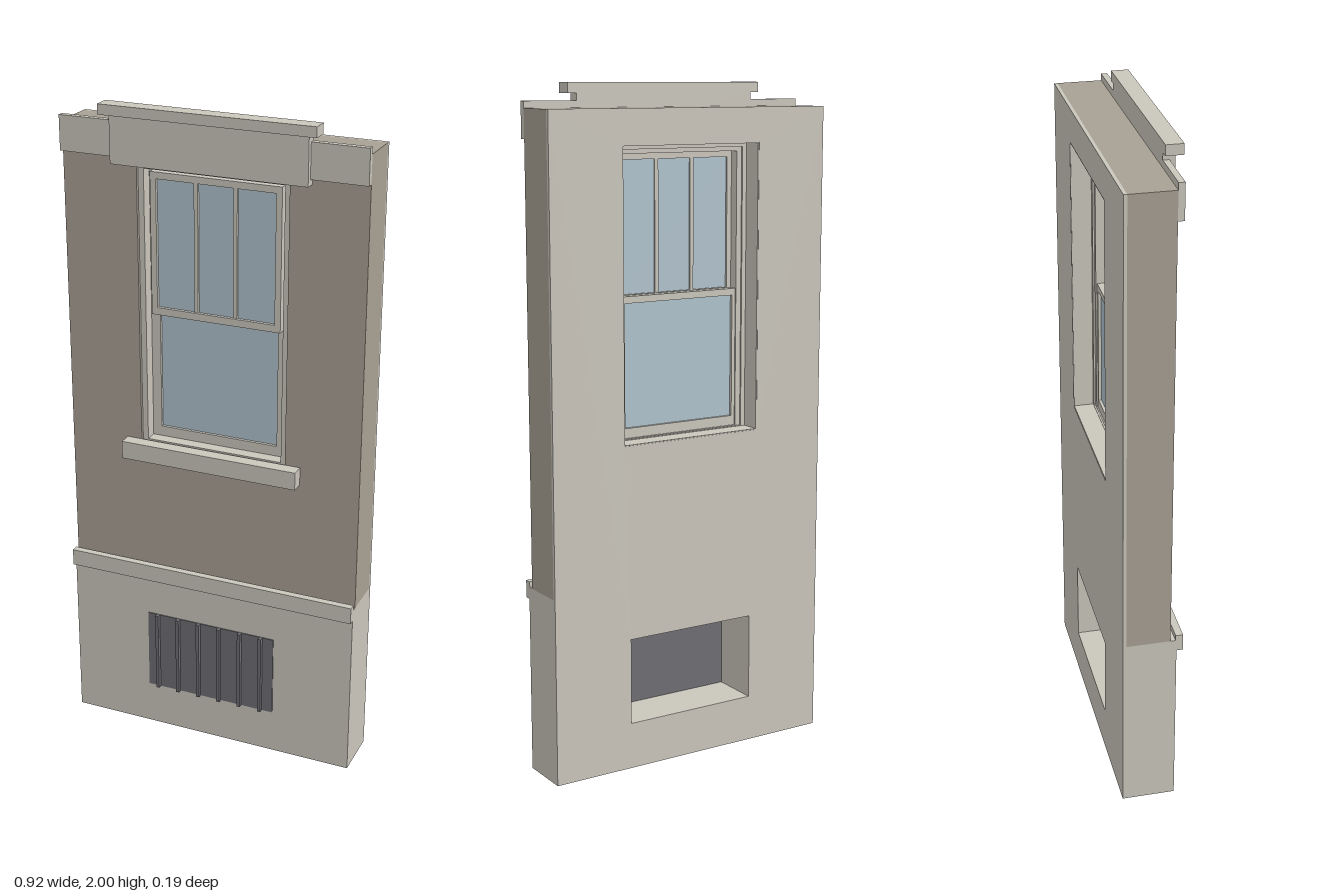
import * as THREE from 'three';

const mat = (name, color) => {
  const m = new THREE.MeshStandardMaterial({ color });
  m.name = name;
  return m;
};

export function createModel() {
  const stone = mat('pale stone', 0xcac6bc);
  const brick = mat('taupe wall', 0xa8a093);
  const glass = mat('window glass', 0xb0c3cd);
  const metal = mat('grey vent metal', 0x6d6d73);
  const root = new THREE.Group();
  root.name = 'windowWallPanel';

  const add = (name, geo, material, parent = root) => {
    const mesh = new THREE.Mesh(geo, material);
    mesh.name = name;
    parent.add(mesh);
    return mesh;
  };
  // Box given by its limits on each axis
  const box = (name, x0, x1, y0, y1, z0, z1, material, parent) => {
    const g = new THREE.BoxGeometry(x1 - x0, y1 - y0, z1 - z0);
    g.translate((x0 + x1) / 2, (y0 + y1) / 2, (z0 + z1) / 2);
    return add(name, g, material, parent);
  };
  const trace = (path, [x0, x1, y0, y1]) => {
    path.moveTo(x0, y0);
    path.lineTo(x1, y0);
    path.lineTo(x1, y1);
    path.lineTo(x0, y1);
    path.closePath();
    return path;
  };
  // Rectangular slab with rectangular holes
  const slab = (name, outer, holes, z0, z1, material, parent) => {
    const s = trace(new THREE.Shape(), outer);
    holes.forEach((h) => s.holes.push(trace(new THREE.Path(), h)));
    const g = new THREE.ExtrudeGeometry(s, { depth: z1 - z0, bevelEnabled: false });
    g.translate(0, 0, z0);
    return add(name, g, material, parent);
  };

  const W = 0.46;
  const opening = [-0.23, 0.23, 0.98, 1.83];
  const ventHole = [-0.21, 0.21, 0.14, 0.4];

  // Wall body, base and inner lining
  slab('upperWall', [-W, W, 0.56, 1.93], [opening], -0.085, 0.045, brick);
  slab('base', [-W, W, 0, 0.56], [ventHole], -0.085, 0.063, stone);
  slab('backLining', [-W, W, 0, 1.93], [opening, ventHole], -0.095, -0.085, stone);
  slab('revealLining', opening, [[-0.227, 0.227, 0.983, 1.827]], -0.094, -0.035, stone);

  // Stone trim
  box('baseBand', -W, W, 0.525, 0.577, 0.06, 0.082, stone);
  box('windowSill', -0.277, 0.277, 0.93, 0.985, 0.045, 0.085, stone);
  for (const s of [-1, 1]) {
    const xs = [s * 0.295, s * W].sort((a, b) => a - b);
    box('sideFrieze', xs[0], xs[1], 1.847, 1.95, 0.045, 0.063, stone);
  }
  box('lintel', -0.295, 0.295, 1.83, 1.97, 0.045, 0.079, stone);
  box('lintelCap', -0.322, 0.322, 1.97, 2, 0.045, 0.095, stone);

  // Window: stepped frame and two sliding sashes
  const win = new THREE.Group();
  win.name = 'window';
  root.add(win);
  slab('outerFrame', opening, [[-0.213, 0.213, 0.985, 1.815]], -0.035, 0.035, stone, win);
  slab('innerFrame', [-0.213, 0.213, 0.983, 1.817], [[-0.196, 0.196, 0.987, 1.803]],
    -0.03, -0.002, stone, win);

  slab('upperSash', [-0.2, 0.2, 1.38, 1.805], [[-0.182, 0.182, 1.402, 1.785]],
    0, 0.022, stone, win);
  box('upperGlass', -0.184, 0.184, 1.4, 1.787, 0.006, 0.012, glass, win);
  for (const x of [-0.06, 0.06]) {
    box('glazingBar', x - 0.006, x + 0.006, 1.4, 1.787, 0.002, 0.02, stone, win);
  }
  slab('lowerSash', [-0.197, 0.197, 0.985, 1.4], [[-0.185, 0.185, 1.016, 1.38]],
    -0.026, -0.002, stone, win);
  box('lowerGlass', -0.187, 0.187, 1.014, 1.382, -0.017, -0.011, glass, win);

  // Vent with vertical fins
  const vent = new THREE.Group();
  vent.name = 'vent';
  root.add(vent);
  box('ventPlate', -0.21, 0.21, 0.14, 0.4, 0.056, 0.066, metal, vent);
  for (let i = 0; i < 6; i++) {
    const x = -0.175 + i * 0.069;
    box('ventFin', x - 0.005, x + 0.005, 0.14, 0.4, 0.066, 0.079, metal, vent);
  }
  return root;
}
